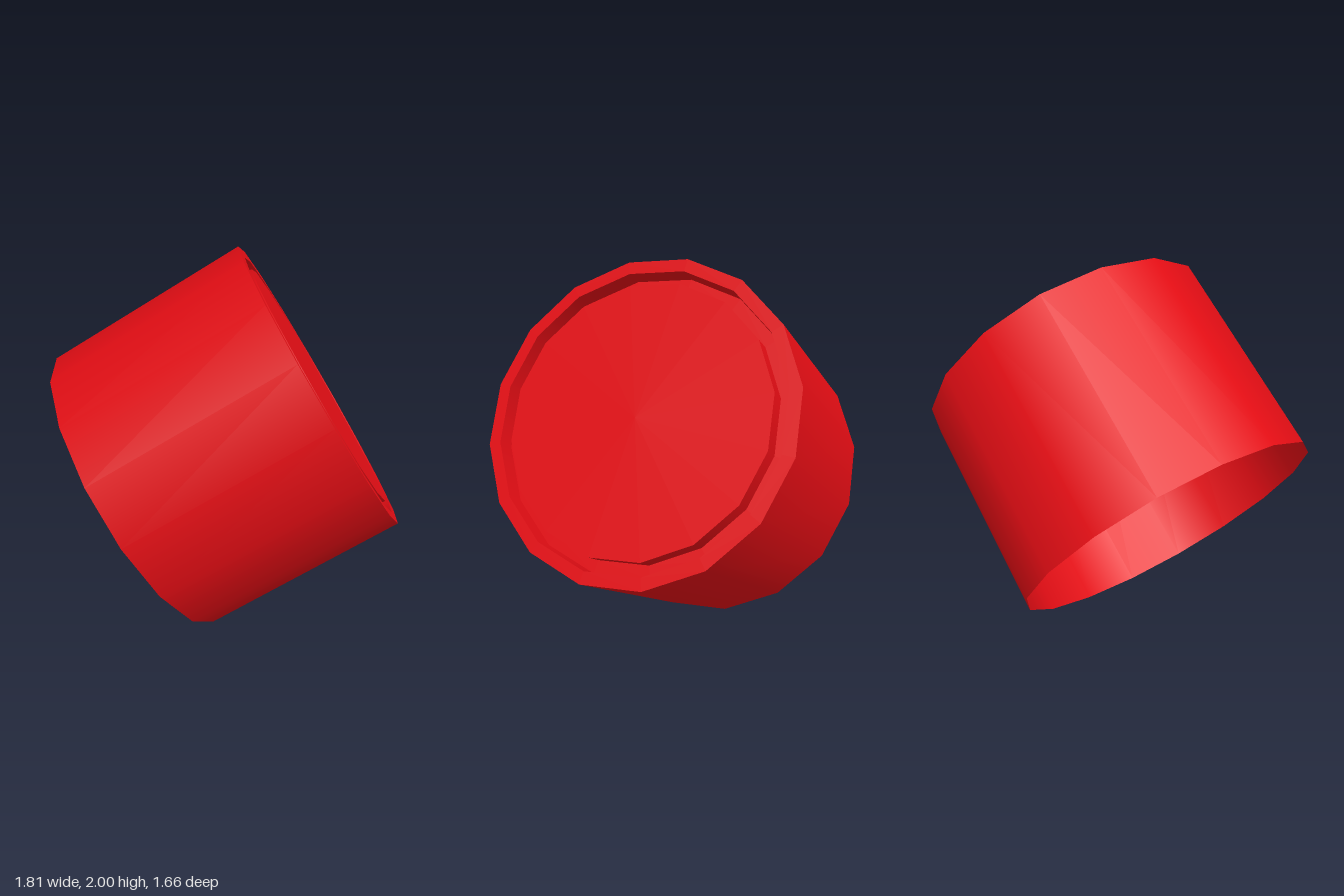
import * as THREE from 'three';

// A tilted sixteen-sided cap: open at the lower end, grooved face at the upper end.
const SIDES = 16;
const RADIUS = 0.832, LIP = 0.767, DISC = 0.7;
const HALF = 0.558, GROOVE = 0.1;
const TILT = THREE.MathUtils.degToRad(58.8);
const TWIST = THREE.MathUtils.degToRad(-94.7);

export function createModel() {
  const material = new THREE.MeshStandardMaterial({ color: 0xe30d14, side: THREE.DoubleSide });
  const cap = new THREE.Group();
  cap.name = 'cap';

  // One band of the turned profile; separate bands keep the edges between them sharp
  const band = (name, r0, y0, r1, y1) => {
    const profile = [new THREE.Vector2(r0, y0), new THREE.Vector2(r1, y1)];
    const mesh = new THREE.Mesh(new THREE.LatheGeometry(profile, SIDES, TWIST, Math.PI * 2), material);
    mesh.name = name;
    cap.add(mesh);
  };

  const floor = HALF - GROOVE;
  band('outerWall', RADIUS, -HALF, RADIUS, HALF);
  band('rim', RADIUS, HALF, LIP, HALF);
  band('grooveOuterWall', LIP, HALF, LIP, floor);
  band('grooveFloor', LIP, floor, DISC, floor);
  band('discSide', DISC, floor, DISC, HALF);
  band('discFace', DISC, HALF, 0, HALF);

  // Lean the axis over towards +x
  cap.rotation.z = -TILT;
  cap.position.y = 1;

  const model = new THREE.Group();
  model.name = 'tiltedCap';
  model.add(cap);
  return model;
}
